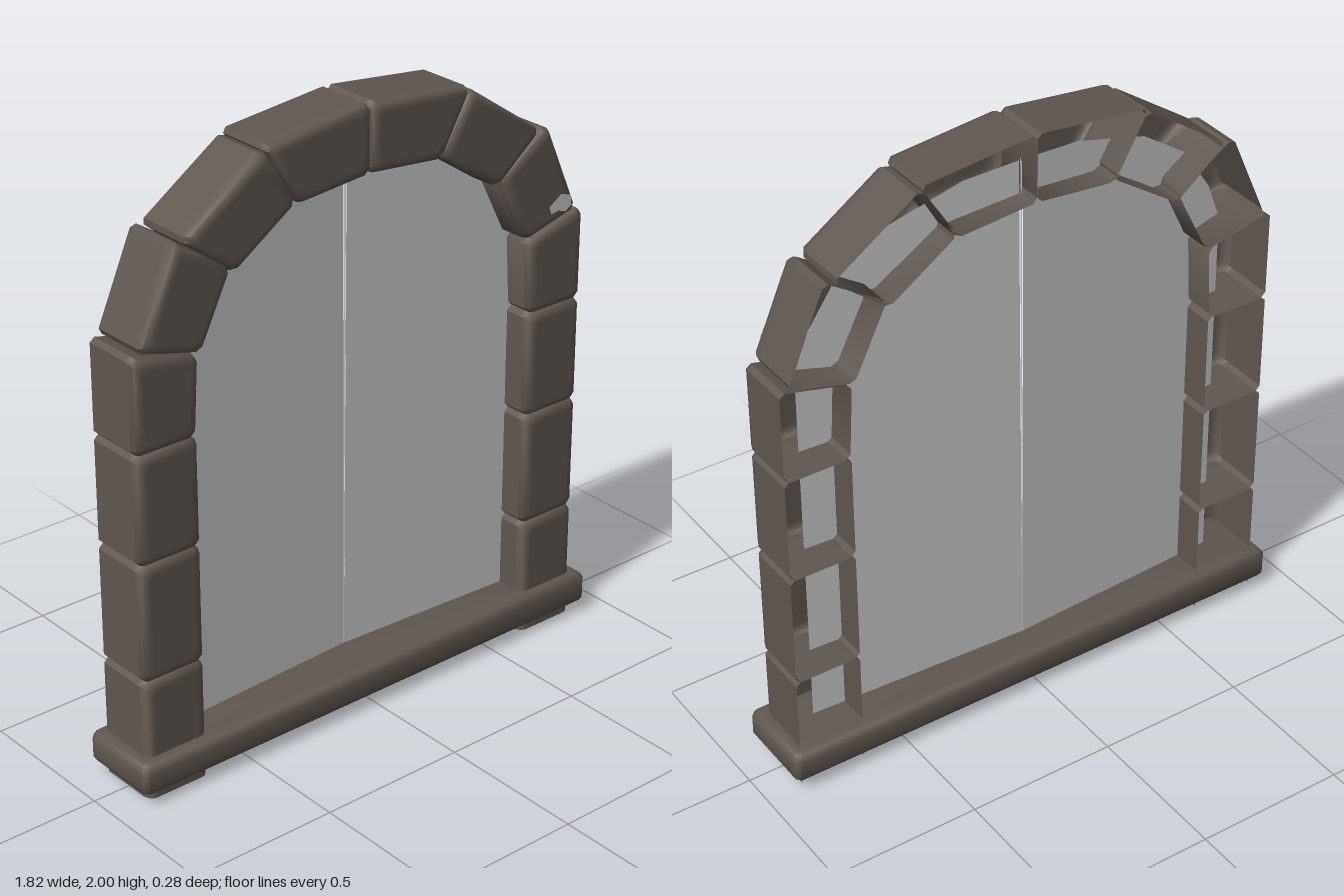
import * as THREE from 'three';
import { toCreasedNormals } from 'three/addons/utils/BufferGeometryUtils.js';

const stoneMat = new THREE.MeshStandardMaterial({ color: 0x5f5650, side: THREE.DoubleSide });
stoneMat.name = 'brown stone';
const glassMat = new THREE.MeshStandardMaterial({ color: 0xc8c8c8, side: THREE.DoubleSide });
glassMat.name = 'grey glass';

// Outline of a four-sided block, moved inward by d, with its corners cut by c
function outline(quad, d, c) {
  const p = quad.map(q => new THREE.Vector2(...q));
  const toward = (a, b) => b.clone().sub(a).normalize();
  const inner = p.map((a, i) => a.clone()
    .addScaledVector(toward(a, p[(i + 1) % 4]), d)
    .addScaledVector(toward(a, p[(i + 3) % 4]), d));
  return inner.flatMap((a, i) => [
    a.clone().addScaledVector(toward(a, inner[(i + 3) % 4]), c),
    a.clone().addScaledVector(toward(a, inner[(i + 1) % 4]), c),
  ]);
}

// Hollow block with an open back: rings are [z, inset], listed back to front.
// Anything below floor is cut off, leaving that end open.
function shell(quad, rings, corner, floor = -Infinity) {
  const pos = [];
  const loops = rings.map(([z, d]) => outline(quad, d, corner)
    .map(v => new THREE.Vector3(v.x, Math.max(v.y, floor), z)));
  const tri = (...vs) => {
    if (vs.some(v => v.y > floor)) vs.forEach(v => pos.push(v.x, v.y, v.z));
  };
  for (let r = 0; r + 1 < loops.length; r++) {
    const a = loops[r], b = loops[r + 1];
    for (let i = 0; i < 8; i++) {
      const j = (i + 1) % 8;
      tri(a[i], a[j], b[j]);
      tri(a[i], b[j], b[i]);
    }
  }
  const front = loops[loops.length - 1];
  const mid = front.reduce((s, v) => s.add(v), new THREE.Vector3()).divideScalar(8);
  front.forEach((v, i) => tri(mid, v, front[(i + 1) % 8]));
  const g = new THREE.BufferGeometry();
  g.setAttribute('position', new THREE.Float32BufferAttribute(pos, 3));
  return toCreasedNormals(g, 0.75);
}

const stoneRings = [[-0.102, 0], [0.055, 0], [0.078, 0], [0.094, 0.006], [0.103, 0.015],
  [0.106, 0.026], [0.106, 0.036]];

// Blocks of the +x half, corners counter-clockwise from the front
const blocks = {
  jambBlock1: [[0.648, -0.06], [0.872, -0.06], [0.872, 0.403], [0.648, 0.403]],
  jambBlock2: [[0.648, 0.399], [0.872, 0.399], [0.872, 0.792], [0.648, 0.792]],
  jambBlock3: [[0.648, 0.788], [0.872, 0.788], [0.872, 1.148], [0.648, 1.148]],
  jambBlock4: [[0.652, 1.144], [0.872, 1.144], [0.872, 1.456], [0.637, 1.4]],
  archBlock1: [[0.627, 1.4], [0.846, 1.458], [0.712, 1.764], [0.512, 1.636]],
  archBlock2: [[0.506, 1.61], [0.684, 1.755], [0.39, 1.955], [0.272, 1.768]],
  archBlock3: [[0.276, 1.758], [0.392, 1.963], [-0.001, 2.004], [-0.001, 1.782]],
};

export function createModel() {
  const model = new THREE.Group();
  const add = (name, geometry, material, parent = model) => {
    const m = new THREE.Mesh(geometry, material);
    m.name = name;
    parent.add(m);
  };
  const shape = points => new THREE.Shape(points.map(v => new THREE.Vector2(...v)));

  // Stone surround and the two glass halves
  for (const [side, s] of [['left', 1], ['right', -1]]) {
    const stones = new THREE.Group();
    stones.name = side + 'Stones';
    model.add(stones);
    for (const [name, quad] of Object.entries(blocks)) {
      const q = quad.map(([x, y]) => [s * x, y]);
      if (s < 0) q.reverse();
      add(name, shell(q, stoneRings, 0.017, 0), stoneMat, stones);
    }

    // The left half starts a little off centre at the top, leaving room for the fold
    const pts = [[0, 0.012], [0.76, 0.012], [0.76, 1.42], [0.71, 1.55], [0.61, 1.7],
      [0.45, 1.81], [0.2, 1.88], [s > 0 ? 0.014 : 0, 1.89]];
    const pane = new THREE.ShapeGeometry(shape(pts.map(([x, y]) => [s * x, y])));
    // Each half leans slightly forward toward the jamb
    const p = pane.attributes.position;
    for (let i = 0; i < p.count; i++) p.setZ(i, -0.03 + 0.05 * Math.abs(p.getX(i)));
    pane.computeVertexNormals();
    add(side + 'Pane', pane, glassMat);
  }

  // Narrow glass fold between the panes, turned sideways and widening upward
  const fold = new THREE.BufferGeometry();
  fold.setAttribute('position', new THREE.Float32BufferAttribute(
    [0, 0.012, -0.03, 0.014, 1.89, -0.045, 0, 1.89, -0.015], 3));
  fold.computeVertexNormals();
  add('paneFold', fold, glassMat);

  // Small exposed chip of glass on the lowest left arch stone
  const chip = shape([[0.715, 1.495], [0.725, 1.47], [0.755, 1.475], [0.785, 1.465],
    [0.81, 1.48], [0.805, 1.515], [0.765, 1.528], [0.74, 1.512]]);
  add('glassChip', new THREE.ShapeGeometry(chip).translate(0, 0, 0.108), glassMat);

  // Sill: a hollow slab, open underneath
  const sill = shell([[-0.91, -0.142], [0.91, -0.142], [0.91, 0.142], [-0.91, 0.142]],
    [[0.037, 0.02], [0.045, 0.007], [0.058, 0], [0.124, 0], [0.138, 0.007], [0.146, 0.016],
      [0.148, 0.026]], 0.015);
  add('sill', sill.rotateX(-Math.PI / 2), stoneMat);

  return model;
}
